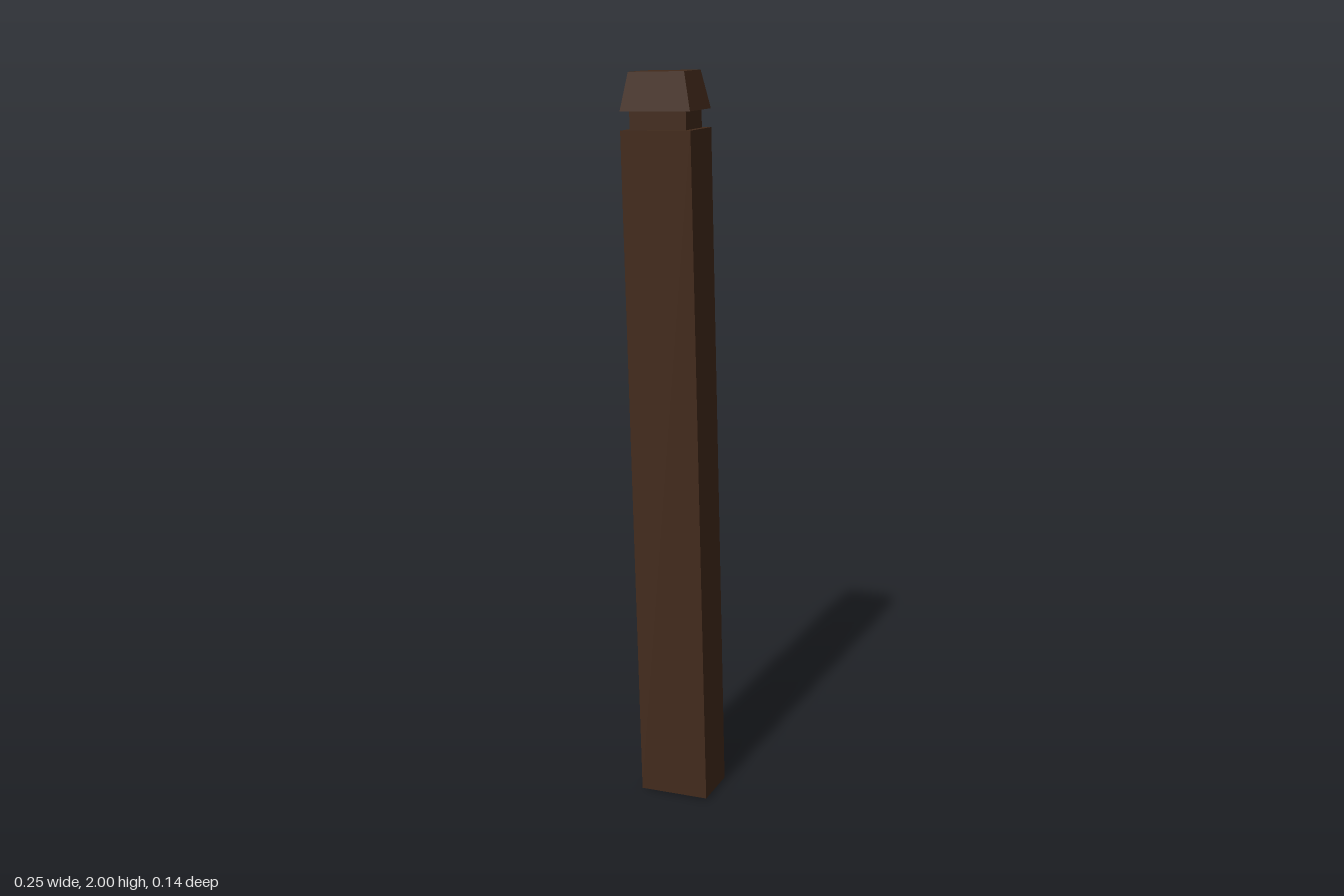
import * as THREE from 'three';

export function createModel() {
  const model = new THREE.Group();
  const wood = new THREE.MeshStandardMaterial({ color: 0x422a1b, flatShading: true });

  // Box from y0 to y1 whose top face may be narrower than its base
  function block(name, y0, y1, width, depth, topWidth = width, topDepth = depth) {
    const geo = new THREE.BoxGeometry(width, y1 - y0, depth);
    const pos = geo.attributes.position;
    for (let i = 0; i < pos.count; i++) {
      if (pos.getY(i) > 0) {
        pos.setX(i, Math.sign(pos.getX(i)) * topWidth / 2);
        pos.setZ(i, Math.sign(pos.getZ(i)) * topDepth / 2);
      }
    }
    geo.translate(0, (y0 + y1) / 2, 0);
    geo.computeVertexNormals();
    const mesh = new THREE.Mesh(geo, wood);
    mesh.name = name;
    return mesh;
  }

  // Whole post leans slightly to one side
  const post = new THREE.Group();
  post.name = 'leaningPost';
  post.add(
    block('shaft', 0, 1.848, 0.196, 0.142),
    block('neck', 1.848, 1.896, 0.158, 0.106),
    block('cap', 1.896, 1.995, 0.196, 0.142, 0.156, 0.111)
  );
  post.rotation.z = 0.0287;
  post.position.set(0.028, 0.0028, 0);
  model.add(post);
  return model;
}
